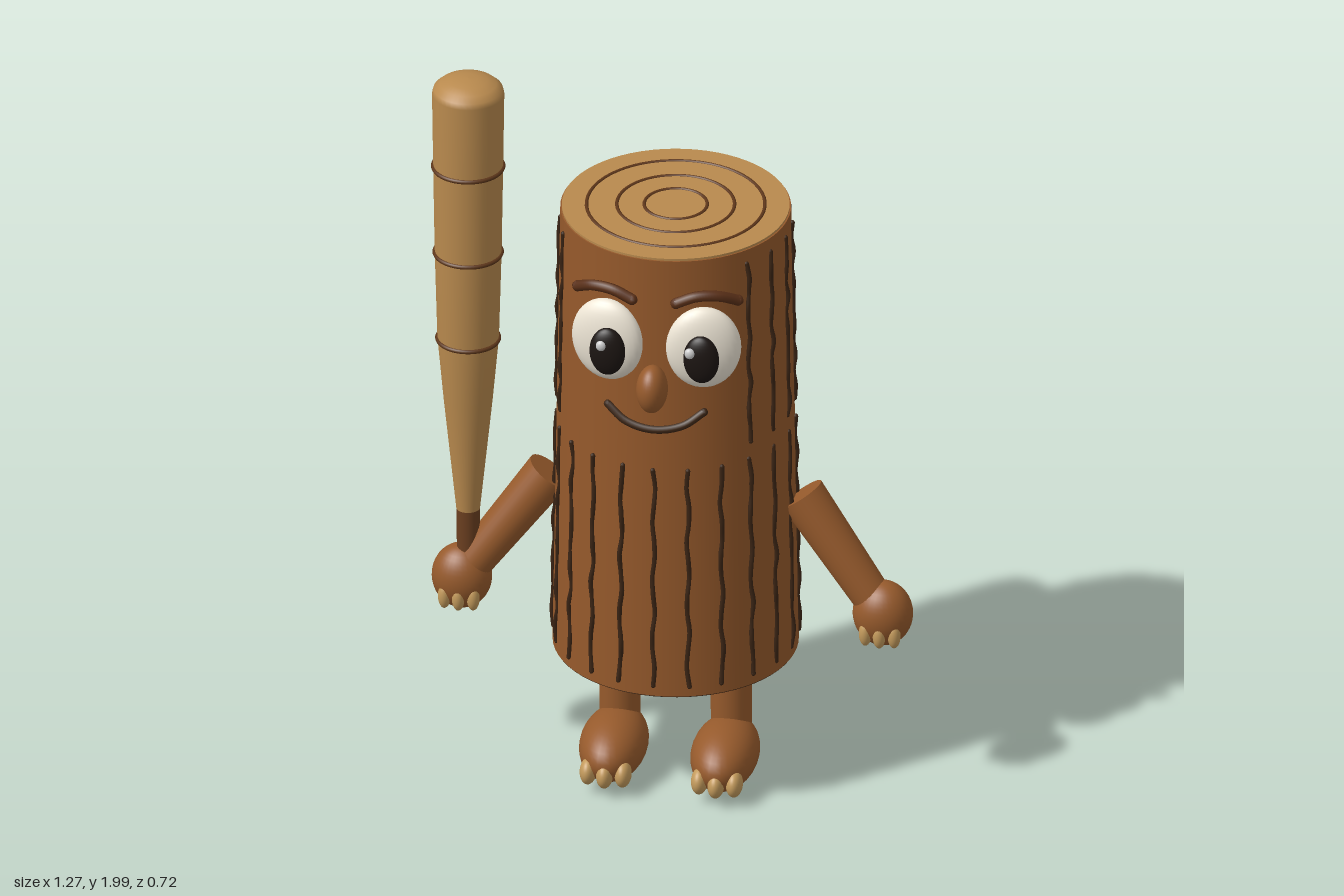
import * as THREE from 'three';

const mat = (color) => new THREE.MeshStandardMaterial({ color });
const BARK = mat(0x95592b), WOOD = mat(0xb98a4e), DARK = mat(0x3a2414), RING = mat(0x5e371b),
  GRIP = mat(0x6b3f20), WHITE = mat(0xeee6d6), BLACK = mat(0x1c1512), CLAW = mat(0xc39a5c),
  LIMB = mat(0x965a2c), BROW = mat(0x5a3018), SHINE = mat(0xffffff);

const CZ = -0.032, BOTTOM = 0.37, TOP = 1.65;
const trunkRadius = (y) => THREE.MathUtils.lerp(0.32, 0.3, (y - BOTTOM) / (TOP - BOTTOM));

export function createModel() {
  const root = new THREE.Group();

  const add = (name, geo, material, pos = [0, 0, 0], parent = root) => {
    const m = new THREE.Mesh(geo, material);
    m.name = name;
    m.position.set(...pos);
    parent.add(m);
    return m;
  };
  const ellipsoid = (name, material, pos, radii, parent = root) => {
    const m = add(name, new THREE.SphereGeometry(1, 32, 20), material, pos, parent);
    m.scale.set(...radii);
    return m;
  };
  const tube = (name, material, points, r, parent = root, segments = 24, sides = 8) => {
    const curve = new THREE.CatmullRomCurve3(points.map((p) => new THREE.Vector3(...p)));
    const m = add(name, new THREE.TubeGeometry(curve, segments, r, sides), material, [0, 0, 0], parent);
    for (const end of [points[0], points[points.length - 1]]) {
      add(name + 'End', new THREE.SphereGeometry(r, sides, 6), material, end, parent);
    }
    return m;
  };
  // Round limb between two points
  const limb = (name, material, from, to, r0, r1) => {
    const a = new THREE.Vector3(...from), b = new THREE.Vector3(...to);
    const dir = b.clone().sub(a);
    const m = add(name, new THREE.CylinderGeometry(r1, r0, dir.length(), 28), material);
    m.position.copy(a).add(b).multiplyScalar(0.5);
    m.quaternion.setFromUnitVectors(new THREE.Vector3(0, 1, 0), dir.normalize());
    return m;
  };
  const flatRing = (name, material, r, thick, pos, parent) => {
    add(name, new THREE.TorusGeometry(r, thick, 8, 56), material, pos, parent).rotation.x = Math.PI / 2;
  };

  // Trunk with cut top and dark underside
  add('trunk', new THREE.CylinderGeometry(0.3, 0.32, TOP - BOTTOM, 64, 1), BARK,
    [0, (TOP + BOTTOM) / 2, CZ]);
  add('trunkUnderside', new THREE.CylinderGeometry(0.318, 0.318, 0.006, 64), DARK, [0, BOTTOM, CZ]);
  add('cutTop', new THREE.CylinderGeometry(0.296, 0.296, 0.012, 64), WOOD, [0, TOP, CZ]);
  for (const r of [0.082, 0.153, 0.232]) flatRing('growthRing', RING, r, 0.005, [0, TOP + 0.005, CZ]);

  // Bark grooves: lower row all round, upper row leaves the face free
  const bark = new THREE.Group();
  bark.name = 'barkGrooves';
  root.add(bark);
  const COUNT = 22;
  const groove = (k, y0, y1) => {
    const points = [];
    for (let i = 0; i <= 12; i++) {
      const y = y0 + (y1 - y0) * i / 12;
      const a = (k / COUNT) * Math.PI * 2 + 0.012 * Math.sin(i * 1.9 + k * 2.3);
      const r = trunkRadius(y) + 0.001 + 0.003 * Math.sin(i * 2.7 + k);
      points.push([Math.sin(a) * r, y, CZ + Math.cos(a) * r]);
    }
    tube('groove', DARK, points, 0.0065, bark, 36, 6);
  };
  for (let k = 0; k < COUNT; k++) {
    groove(k, 0.4, 1.035);
    if (k >= 3 && k <= COUNT - 4) groove(k, 1.085, 1.61);
  }

  // Face
  for (const s of [-1, 1]) {
    const eye = ellipsoid('eyeWhite', WHITE, [s * 0.127, 1.4, 0.255], [0.098, 0.117, 0.043]);
    eye.rotation.y = s * 0.2;
    ellipsoid('pupil', BLACK, [s * 0.118 + (s > 0 ? 0.012 : 0), 1.39, 0.305], [0.047, 0.068, 0.026]);
    ellipsoid('eyeShine', SHINE, [s * 0.117 - 0.014, 1.415, 0.324], [0.014, 0.015, 0.011]);
    tube('eyebrow', BROW, [[s * 0.212, 1.53, 0.222], [s * 0.165, 1.553, 0.252],
      [s * 0.11, 1.555, 0.27], [s * 0.058, 1.535, 0.278]], 0.015);
  }
  ellipsoid('nose', LIMB, [0, 1.29, 0.305], [0.041, 0.066, 0.053]);
  tube('mouth', DARK, [[-0.127, 1.204, 0.25], [-0.075, 1.17, 0.272], [0, 1.157, 0.283],
    [0.075, 1.17, 0.272], [0.127, 1.204, 0.25]], 0.011);

  // Arms, hands, legs and feet
  for (const s of [-1, 1]) {
    const hand = [s * 0.556, 0.525, 0.015];
    limb('arm', LIMB, [s * 0.333, 0.83, -0.03], hand, 0.062, 0.05);
    ellipsoid('hand', LIMB, hand, [0.079, 0.09, 0.07]);
    for (const i of [-1, 0, 1]) {
      ellipsoid('finger', CLAW, [hand[0] + i * 0.038, 0.484, 0.068 - 0.008 * Math.abs(i)],
        [0.017, 0.036, 0.019]);
    }

    const x = s * 0.147;
    limb('leg', LIMB, [x, 0.1, CZ], [x, 0.35, CZ], 0.053, 0.055);
    ellipsoid('foot', LIMB, [x, 0.09, 0.055], [0.088, 0.084, 0.153]);
    for (const i of [-1, 0, 1]) {
      ellipsoid('toe', CLAW, [x + i * 0.046, 0.065, 0.187 - 0.014 * Math.abs(i)],
        [0.022, 0.036, 0.035]);
    }
  }

  // Bat held upright in the right hand
  const bat = new THREE.Group();
  bat.name = 'bat';
  bat.position.set(-0.54, 0, 0.013);
  root.add(bat);
  add('batGrip', new THREE.CylinderGeometry(0.031, 0.028, 0.22, 28), GRIP, [0, 0.62, 0], bat);
  const profile = [[0.031, 0.725], [0.064, 1.05], [0.08, 1.23], [0.087, 1.485], [0.091, 1.74],
    [0.094, 1.955], [0.09, 1.97], [0.074, 1.984], [0.05, 1.994], [0.025, 1.999], [0, 2]];
  add('batBarrel', new THREE.LatheGeometry(profile.map((p) => new THREE.Vector2(...p)), 40), WOOD,
    [0, 0, 0], bat);
  for (const [r, y] of [[0.08, 1.23], [0.087, 1.485], [0.091, 1.74]]) {
    flatRing('batBand', RING, r, 0.006, [0, y, 0], bat);
  }

  return root;
}
